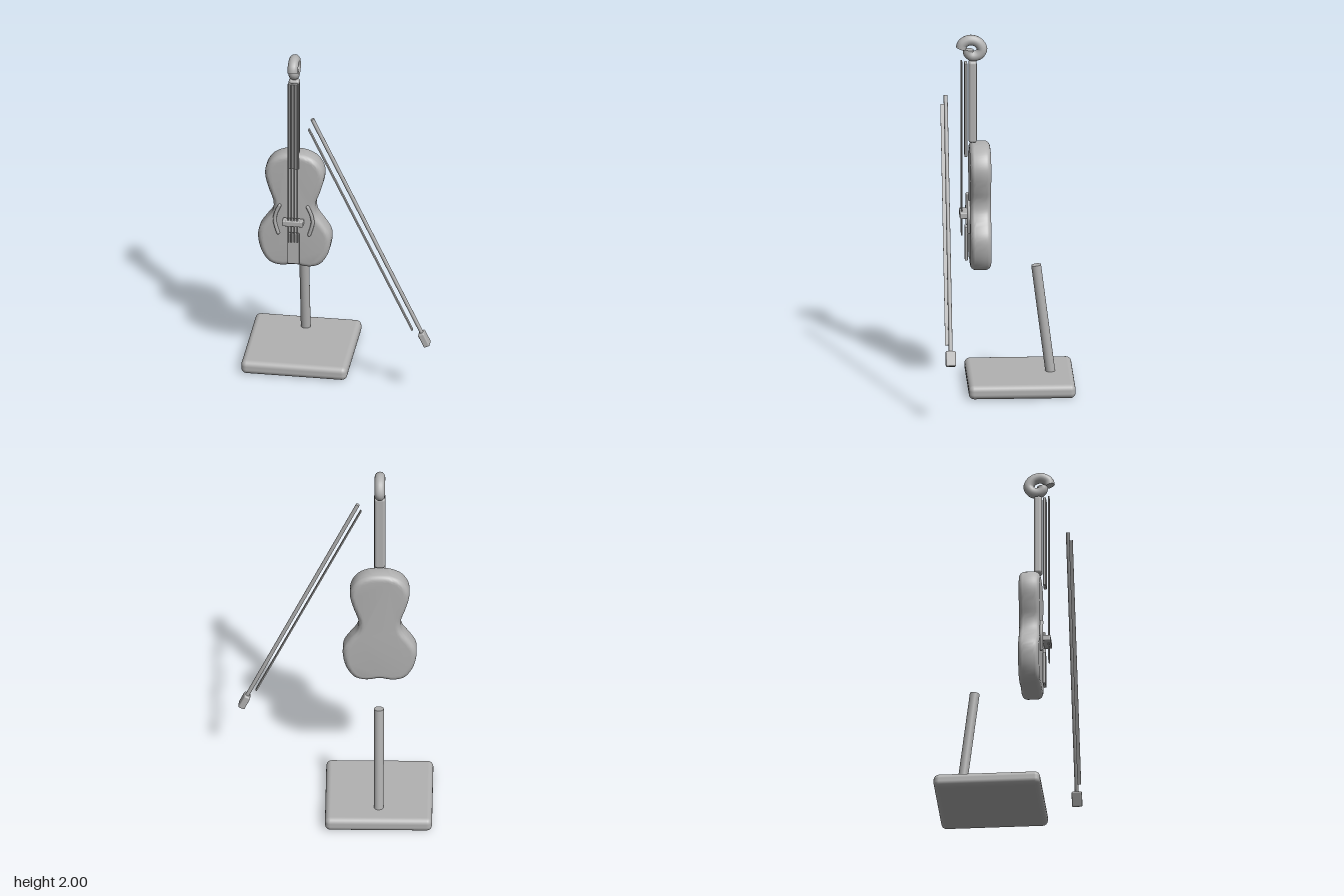
import * as THREE from 'three';
import { toCreasedNormals } from 'three/addons/utils/BufferGeometryUtils.js';
import { RoundedBoxGeometry } from 'three/addons/geometries/RoundedBoxGeometry.js';

const CX = -0.243; // centre line of the instrument

export function createModel() {
  const group = new THREE.Group();
  const grey = new THREE.MeshStandardMaterial({ color: 0xb2b2b2 });
  grey.name = 'plain grey';

  const add = (name, geometry, x = 0, y = 0, z = 0) => {
    const mesh = new THREE.Mesh(geometry, grey);
    mesh.name = name;
    mesh.position.set(x, y, z);
    group.add(mesh);
    return mesh;
  };
  const box = (name, w, h, d, r, x, y, z) =>
    add(name, new RoundedBoxGeometry(w, h, d, 3, r), x, y, z);
  const rod = (name, a, b, r, sides = 20) => {
    const from = new THREE.Vector3(...a), to = new THREE.Vector3(...b);
    const dir = to.clone().sub(from);
    const mesh = add(name, new THREE.CylinderGeometry(r, r, dir.length(), sides));
    mesh.position.copy(from).add(to).multiplyScalar(0.5);
    mesh.quaternion.setFromUnitVectors(new THREE.Vector3(0, 1, 0), dir.normalize());
    return mesh;
  };

  // Stand
  box('standBase', 0.585, 0.078, 0.585, 0.03, CX, 0.039, -0.078);
  rod('standPost', [CX, 0.04, -0.248], [CX, 0.683, -0.166], 0.027, 24);

  // Body: mirrored waisted outline with rounded edges
  const half = [
    [0.07, 1.376], [0.125, 1.345], [0.158, 1.29], [0.162, 1.235], [0.14, 1.15], [0.117, 1.08],
    [0.121, 1.02], [0.165, 0.955], [0.195, 0.905], [0.202, 0.855], [0.182, 0.765],
    [0.138, 0.703], [0.075, 0.685],
  ];
  const outline = [
    [0, 1.385], ...half, [0, 0.695], ...half.slice().reverse().map(([x, y]) => [-x, y]),
  ].map(([x, y]) => new THREE.Vector3(x, y, 0));
  const curve = new THREE.CatmullRomCurve3(outline, true, 'centripetal');
  const shape = new THREE.Shape(curve.getPoints(110).slice(0, -1).map((p) => new THREE.Vector2(p.x, p.y)));
  const bodyGeometry = new THREE.ExtrudeGeometry(shape, {
    depth: 0.051, bevelThickness: 0.032, bevelSize: 0.032, bevelOffset: -0.032, bevelSegments: 6,
  });
  add('body', toCreasedNormals(bodyGeometry, 0.7), CX, 0, 0.117);

  // Neck, fingerboard, bridge and tailpiece
  box('neck', 0.06, 0.465, 0.045, 0.015, CX, 1.622, 0.182);
  box('fingerboard', 0.062, 0.53, 0.016, 0.004, CX, 1.577, 0.219);
  box('bridge', 0.116, 0.034, 0.044, 0.006, CX, 0.983, 0.232);
  box('tailpiece', 0.066, 0.19, 0.016, 0.005, CX, 0.815, 0.217);

  // Four strings
  for (let i = 0; i < 4; i++) {
    const x = CX + (i - 1.5) * 0.016;
    rod('string', [x, 0.865, 0.242], [x, 1.85, 0.242], 0.004, 8);
  }

  // Sound holes: bent strips on both sides of the bridge
  for (const s of [-1, 1]) {
    const bend = new THREE.CatmullRomCurve3([[0.078, 1.07], [0.097, 1.025], [0.105, 0.98], [0.098, 0.94], [0.086, 0.9]]
      .map(([x, y]) => new THREE.Vector3(s * x, y, 0)));
    add('soundHole', new THREE.TubeGeometry(bend, 20, 0.01, 8), CX, 0, 0.207);
    // Closed tips
    for (const t of [0, 1]) {
      const p = bend.getPoint(t);
      add('soundHoleTip', new THREE.SphereGeometry(0.01, 8, 6), CX + p.x, p.y, 0.207);
    }
  }

  // Scroll: a spiral tube of (z, y) points, capped at both ends
  const spiral = new THREE.CatmullRomCurve3([
    [0.246, 1.923], [0.236, 1.951], [0.196, 1.971], [0.152, 1.957], [0.13, 1.918],
    [0.15, 1.887], [0.185, 1.881], [0.206, 1.9], [0.204, 1.918],
  ].map(([z, y]) => new THREE.Vector3(0, y, z)));
  add('scroll', new THREE.TubeGeometry(spiral, 56, 0.029, 16), CX);
  for (const t of [0, 1]) {
    const cap = add('scrollCap', new THREE.CircleGeometry(0.029, 16));
    cap.position.copy(spiral.getPoint(t)).setX(CX);
    const out = spiral.getTangent(t).multiplyScalar(t ? 1 : -1);
    cap.quaternion.setFromUnitVectors(new THREE.Vector3(0, 0, 1), out);
  }

  // Bow: stick, hair and frog lie along the same slanted line
  const lean = 0.443;
  rod('bowStick', [-0.121, 1.695, 0.335], [0.487, 0.405, 0.335], 0.011, 12);
  const hair = add('bowHair', new THREE.BoxGeometry(0.007, 1.335, 0.02), 0.149, 1.037, 0.353);
  hair.rotation.z = lean;
  const frog = box('bowFrog', 0.036, 0.084, 0.056, 0.008, 0.499, 0.375, 0.335);
  frog.rotation.z = lean;

  return group;
}
